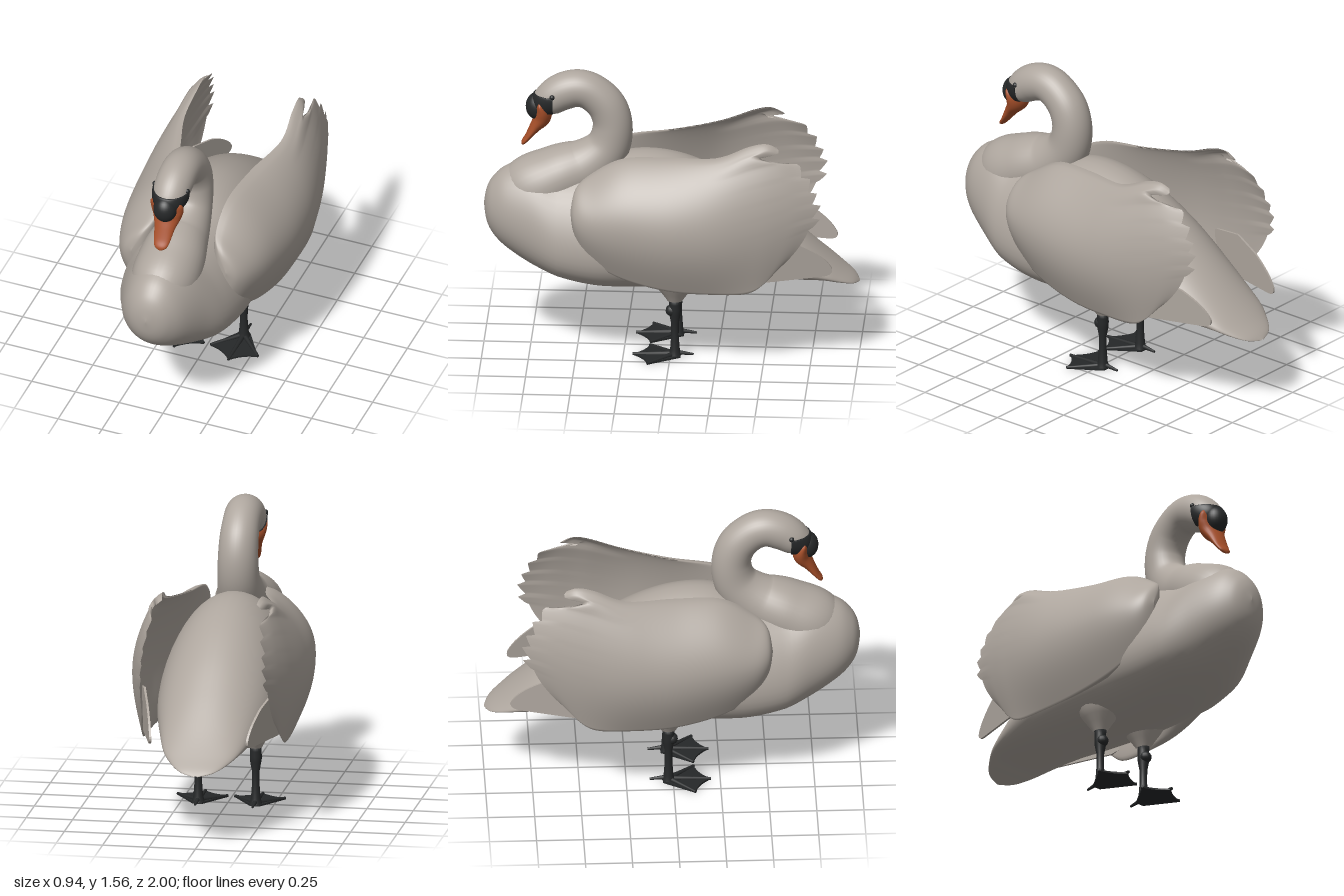
import * as THREE from 'three';

const plumage = new THREE.MeshStandardMaterial({ name: 'plumage', color: 0xaea69e });
const orange = new THREE.MeshStandardMaterial({ name: 'orange bill', color: 0xa8502a });
const black = new THREE.MeshStandardMaterial({ name: 'black skin', color: 0x262829 });

function add(parent, name, geometry, material, x = 0, y = 0, z = 0) {
  const mesh = new THREE.Mesh(geometry, material);
  mesh.name = name;
  mesh.position.set(x, y, z);
  parent.add(mesh);
  return mesh;
}

// Skin over a list of closed rings of points
function loft(rings, flip = false) {
  const n = rings[0].length, index = [];
  for (let i = 0; i < rings.length - 1; i++) {
    for (let j = 0; j < n; j++) {
      const k = (j + 1) % n;
      const a = i * n + j, b = i * n + k, c = (i + 1) * n + k, d = (i + 1) * n + j;
      if (flip) index.push(a, c, b, a, d, c);
      else index.push(a, b, c, a, c, d);
    }
  }
  const g = new THREE.BufferGeometry().setFromPoints(rings.flat());
  g.setIndex(index);
  g.computeVertexNormals();
  return g;
}

// Smoothly interpolates a table of rows; t runs 0..1
function sampleRows(rows, t) {
  const f = t * (rows.length - 1), i = Math.min(Math.floor(f), rows.length - 2), u = f - i;
  const row = (k) => rows[Math.max(0, Math.min(rows.length - 1, k))];
  return rows[0].map((_, c) => {
    const [a, b, d, e] = [row(i - 1)[c], row(i)[c], row(i + 1)[c], row(i + 2)[c]];
    return b + 0.5 * u * (d - a + u * (2 * a - 5 * b + 4 * d - e + u * (3 * (b - d) + e - a)));
  });
}

// Tube in the middle plane; rows are [z, y, half width, half depth].
// Upright rings stay vertical and are egg-shaped, rounder towards the chest.
function tube(rows, steps, sides, upright = false) {
  const rings = [];
  for (let i = 0; i <= steps; i++) {
    const t = i / steps, [z, y, rx, r] = sampleRows(rows, t);
    const p = sampleRows(rows, Math.max(0, t - 0.005)), q = sampleRows(rows, Math.min(1, t + 0.005));
    let tz = q[0] - p[0], ty = q[1] - p[1];
    const len = Math.hypot(tz, ty);
    tz = upright ? 1 : tz / len;
    ty = upright ? 0 : ty / len;
    const sag = upright ? 0.3 * Math.min(1, (1.05 - z) / 0.45) : 0;
    rings.push(Array.from({ length: sides }, (_, j) => {
      const a = (j / sides) * Math.PI * 2;
      const s = Math.max(r, 0) * (Math.sin(a) - sag * Math.cos(a) ** 2);
      return new THREE.Vector3(Math.max(rx, 0) * Math.cos(a), y + tz * s, z - ty * s);
    }));
  }
  return loft(rings);
}

// Body stations: z, bottom, top, half width
const bodyRows = [
  [-1, 0.395, 0.4, 0.01], [-0.97, 0.405, 0.43, 0.09], [-0.9, 0.425, 0.485, 0.155], [-0.8, 0.445, 0.57, 0.21],
  [-0.6, 0.44, 0.75, 0.265], [-0.4, 0.42, 0.91, 0.31], [-0.2, 0.4, 1.03, 0.335], [0, 0.385, 1.1, 0.345],
  [0.2, 0.38, 1.11, 0.345], [0.4, 0.385, 1.05, 0.335], [0.6, 0.425, 1.02, 0.3], [0.75, 0.48, 1.045, 0.24],
  [0.88, 0.56, 1.005, 0.18], [0.95, 0.63, 0.945, 0.125], [0.985, 0.7, 0.88, 0.07], [1, 0.79, 0.8, 0],
].map(([z, b, t, w]) => [z, (b + t) / 2, w, (t - b) / 2]);

// Neck from inside the chest, back and up over the crown to the face
const neckRows = [
  [0.88, 0.74, 0.09, 0.1], [0.75, 0.86, 0.175, 0.19], [0.6, 0.955, 0.175, 0.17], [0.45, 1.02, 0.14, 0.15],
  [0.345, 1.125, 0.115, 0.12], [0.315, 1.25, 0.108, 0.106], [0.345, 1.36, 0.104, 0.103], [0.42, 1.435, 0.1, 0.1],
  [0.5, 1.46, 0.1, 0.1], [0.585, 1.437, 0.1, 0.1], [0.655, 1.39, 0.092, 0.088], [0.695, 1.35, 0.06, 0.06],
  [0.715, 1.33, 0, 0],
];

const billRows = [
  [0.705, 1.4, 0.07, 0.006], [0.698, 1.378, 0.091, 0.026], [0.685, 1.335, 0.091, 0.042], [0.69, 1.29, 0.078, 0.046],
  [0.725, 1.24, 0.058, 0.031], [0.765, 1.18, 0.046, 0.017], [0.79, 1.147, 0.032, 0.012], [0.8, 1.132, 0, 0],
];

// Bare face: a skin just outside the head, cut flat inside it above, below and behind
function maskGeometry() {
  const rows = neckRows.slice(-5).map(([z, y, rx, r], i) => [z + (i > 2 ? 0.008 : 0), y, rx + 0.006, r + 0.006]);
  const g = tube(rows, 60, 48);
  const p = g.attributes.position;
  for (let i = 0; i < p.count; i++) {
    p.setY(i, Math.min(1.432, Math.max(1.33, p.getY(i))));
    p.setZ(i, Math.max(0.63, p.getZ(i)));
  }
  g.computeVertexNormals();
  return g;
}

// Wing stations: z, bottom y, top y, x at bottom, x at widest, x at top, thickness
const wingRows = [
  [0.525, 0.85, 0.86, 0.27, 0.27, 0.27, 0], [0.5, 0.7, 0.97, 0.28, 0.33, 0.22, 0.12],
  [0.42, 0.6, 1.04, 0.31, 0.38, 0.175, 0.2], [0.25, 0.51, 1.13, 0.34, 0.43, 0.17, 0.22],
  [0, 0.455, 1.155, 0.37, 0.465, 0.205, 0.17], [-0.25, 0.445, 1.185, 0.38, 0.467, 0.275, 0.08],
  [-0.42, 0.455, 1.25, 0.38, 0.447, 0.27, 0.05], [-0.51, 0.51, 1.268, 0.375, 0.425, 0.265, 0.03],
  [-0.57, 0.58, 1.245, 0.36, 0.4, 0.255, 0],
];

function wingGeometry(side) {
  const U = 48, V = 60, rings = [];
  for (let i = 0; i <= U; i++) {
    const u = i / U, [z, yb, yt, xb, xm, xt, thick] = sampleRows(wingRows, u);
    const k = Math.pow(Math.max(0, (u - 0.6) / 0.4), 1.3);
    const point = (v, inner) => {
      const wave = Math.max(0, Math.sin(Math.PI * v));
      // rounded trailing edge with feather tips and a notch below the top one
      const teeth = v > 0.36 && v < 0.9 ? 0.05 * ((v * 9) % 1) * u ** 6 : 0;
      const notch = 0.15 * Math.exp(-(((v - 0.925) / 0.028) ** 2));
      const reach = k * (0.195 * Math.pow(wave, 0.85) + teeth - notch);
      let x = v < 0.45
        ? xb + (xm - xb) * Math.sin((Math.PI / 2) * (v / 0.45))
        : xt + (xm - xt) * Math.pow(Math.max(0, Math.cos((Math.PI / 2) * ((v - 0.45) / 0.55))), 0.65);
      x -= 0.3 * Math.max(0, reach);
      if (inner) x -= Math.max(0, thick) * Math.pow(wave, 0.6);
      return new THREE.Vector3(side * x, yb + (yt - yb) * v, z - reach);
    };
    const ring = [];
    for (let j = 0; j <= V; j++) ring.push(point(j / V, false));
    for (let j = V - 1; j > 0; j--) ring.push(point(j / V, true));
    rings.push(ring);
  }
  return loft(rings, side > 0);
}

// Leaf of long feathers under the rear of the wing, drawn as (-z, y)
function lowerFeathers(side) {
  const shape = new THREE.Shape();
  shape.moveTo(0.35, 0.56);
  shape.lineTo(0.5, 0.515);
  shape.lineTo(0.82, 0.525);
  shape.quadraticCurveTo(0.88, 0.53, 0.865, 0.57);
  shape.quadraticCurveTo(0.83, 0.64, 0.7, 0.71);
  shape.lineTo(0.55, 0.76);
  shape.lineTo(0.35, 0.72);
  const g = new THREE.ExtrudeGeometry(shape, { depth: 0.012, bevelEnabled: false, curveSegments: 8 });
  g.rotateY(Math.PI / 2);
  const p = g.attributes.position;
  for (let i = 0; i < p.count; i++) p.setX(i, p.getX(i) + side * (0.4 + 0.27 * (p.getZ(i) + 0.35)));
  g.computeVertexNormals();
  return g;
}

// Tapered rod between two points
function rod(parent, name, a, b, ra, rb) {
  const from = new THREE.Vector3(...a), to = new THREE.Vector3(...b), dir = to.clone().sub(from);
  const mesh = add(parent, name, new THREE.CylinderGeometry(rb, ra, dir.length(), 10), black);
  mesh.position.copy(from).add(to).multiplyScalar(0.5);
  mesh.quaternion.setFromUnitVectors(new THREE.Vector3(0, 1, 0), dir.normalize());
}

const lathe = (pts) => new THREE.LatheGeometry(pts.map(([r, y]) => new THREE.Vector2(r, y)), 20);

function makeLeg(side) {
  const leg = new THREE.Group();
  leg.name = side > 0 ? 'leftLeg' : 'rightLeg';
  leg.position.set(side * 0.155, 0, -0.025);
  const thigh = add(leg, 'thigh', lathe([[0.034, 0.32], [0.042, 0.335], [0.06, 0.365], [0.083, 0.4], [0.1, 0.43], [0.11, 0.465]]), plumage);
  thigh.scale.z = 1.2;
  add(leg, 'shank', lathe([[0.034, 0.008], [0.026, 0.04], [0.02, 0.12], [0.021, 0.19], [0.03, 0.24],
    [0.032, 0.27], [0.031, 0.3], [0.033, 0.33], [0, 0.332]]), black);
  add(leg, 'ankle', new THREE.SphereGeometry(0.032, 14, 10), black, 0, 0.262, 0.018);

  // webbed foot with three front toes and a hind toe
  const web = new THREE.Shape();
  web.moveTo(-0.025, -0.03);
  web.lineTo(-0.135, 0.14);
  web.quadraticCurveTo(-0.06, 0.15, 0, 0.22);
  web.quadraticCurveTo(0.06, 0.15, 0.135, 0.14);
  web.lineTo(0.025, -0.03);
  const foot = new THREE.ExtrudeGeometry(web, { depth: 0.01, bevelEnabled: false, curveSegments: 6 });
  foot.rotateX(Math.PI / 2);
  add(leg, 'web', foot, black, 0, 0.011, 0);
  for (const [x, z] of [[-0.135, 0.14], [0, 0.225], [0.135, 0.14]]) {
    rod(leg, 'toe', [0, 0.016, 0], [x, 0.009, z], 0.014, 0.008);
  }
  rod(leg, 'hindToe', [0, 0.025, 0], [0, 0.014, -0.1], 0.014, 0.006);
  return leg;
}

export function createModel() {
  const bird = new THREE.Group();
  bird.name = 'waterBird';
  add(bird, 'body', tube(bodyRows, 90, 48, true), plumage);
  add(bird, 'neckAndHead', tube(neckRows, 96, 36), plumage);

  // Face
  add(bird, 'bill', tube(billRows, 42, 24), orange);
  add(bird, 'mask', maskGeometry(), black);
  const ball = new THREE.SphereGeometry(1, 28, 18);
  add(bird, 'billKnob', ball, black, 0, 1.354, 0.716).scale.set(0.064, 0.075, 0.062);

  for (const side of [1, -1]) {
    const label = side > 0 ? 'left' : 'right';
    add(bird, label + 'Eye', ball, black, side * 0.092, 1.438, 0.632).scale.setScalar(0.014);
    add(bird, label + 'Wing', wingGeometry(side), plumage);
    add(bird, label + 'LowerFeathers', lowerFeathers(side), plumage);
    bird.add(makeLeg(side));
  }
  return bird;
}
